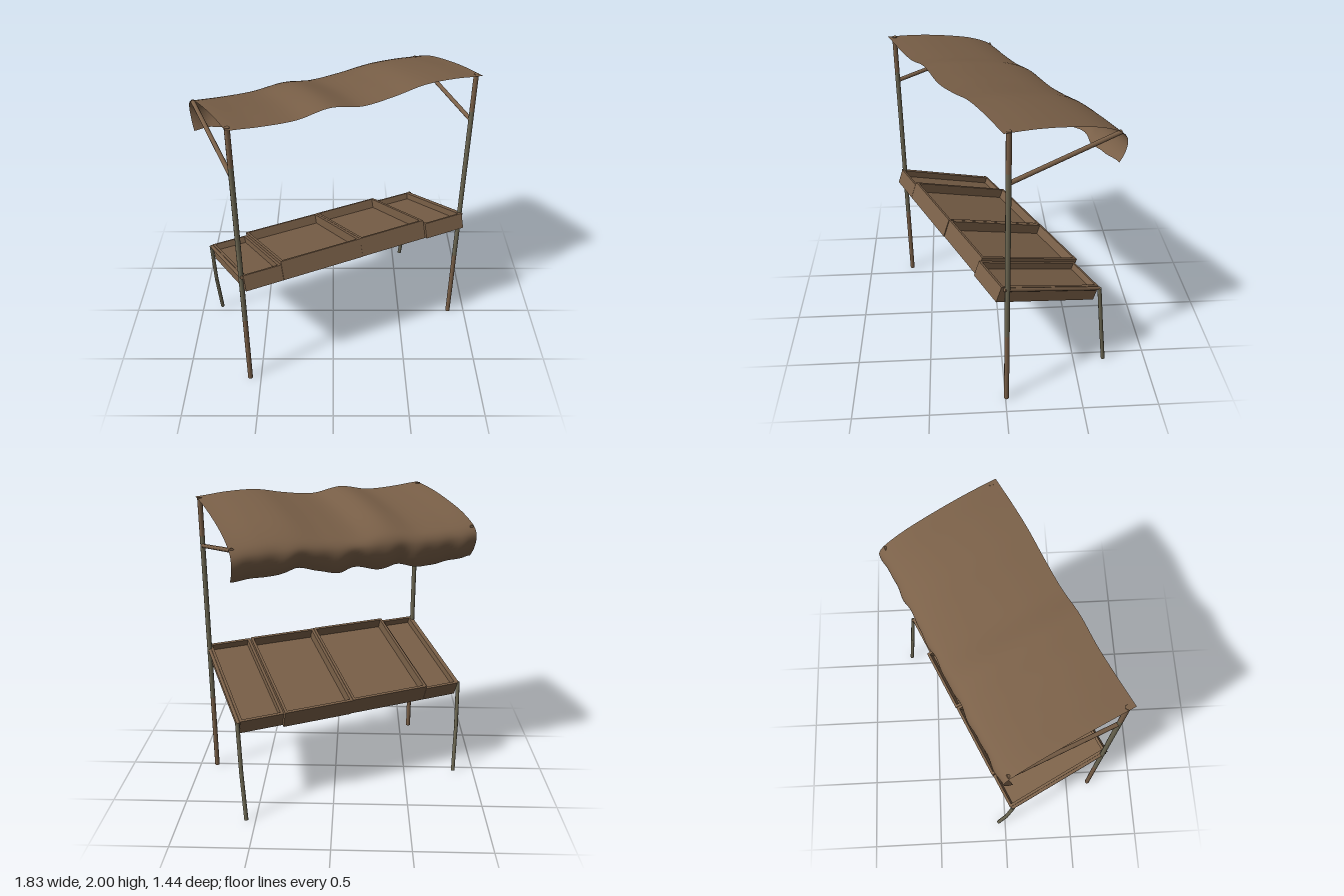
import * as THREE from 'three';

const mat = (name, color, side = THREE.FrontSide) => {
  const m = new THREE.MeshStandardMaterial({ color, side });
  m.name = name;
  return m;
};

export function createModel() {
  const wood = mat('brown wood', 0x7a6048);
  const grey = mat('weathered wood', 0x6d6853);
  const cloth = mat('canopy cloth', 0x7a6048, THREE.DoubleSide);

  const model = new THREE.Group();
  model.name = 'marketStall';
  const stall = new THREE.Group();
  stall.name = 'stall';
  stall.rotation.y = 0.434; // the stall stands turned on its base
  model.add(stall);

  const V = (x, y, z) => new THREE.Vector3(x, y, z);
  const up = V(0, 1, 0);

  // Round pole between two points
  function pole(name, a, b, r, material) {
    const dir = b.clone().sub(a);
    const mesh = new THREE.Mesh(new THREE.CylinderGeometry(r, r, dir.length(), 10), material);
    mesh.position.copy(a).add(b).multiplyScalar(0.5);
    mesh.quaternion.setFromUnitVectors(up, dir.normalize());
    mesh.name = name;
    stall.add(mesh);
  }

  for (const s of [-1, 1]) {
    const side = s > 0 ? 'left' : 'right';
    const x = 0.802 * s;
    // Tall front post, weathered along the middle
    const cuts = [0, 0.55, 1.72, 1.975];
    for (let i = 0; i < 3; i++) {
      pole(side + 'Post' + i, V(x, cuts[i], 0.364), V(x, cuts[i + 1], 0.364), 0.0165, i === 1 ? grey : wood);
    }
    // Strut carrying the back of the canopy
    pole(side + 'CanopyStrut', V(x, 1.655, 0.364), V(x, 1.79, -0.375), 0.014, wood);
    // Rail along the end of the trays
    pole(side + 'Rail', V(x, 0.925, 0.385), V(x, 0.66, -0.325), 0.012, wood);
  }
  // Splayed back legs, slightly crooked
  const legs = {
    leftLeg: [V(0.81, 0.668, -0.318), V(0.812, 0.33, -0.36), V(0.807, 0.005, -0.408)],
    rightLeg: [V(-0.808, 0.668, -0.318), V(-0.79, 0.33, -0.358), V(-0.757, 0.005, -0.404)],
  };
  for (const [name, pts] of Object.entries(legs)) {
    pole(name + 'Upper', pts[0], pts[1], 0.0135, grey);
    pole(name + 'Lower', pts[1], pts[2], 0.0135, grey);
  }

  // Sloping display trays
  const trays = new THREE.Group();
  trays.name = 'displayTrays';
  trays.position.set(0, 0.705, 0.0625);
  trays.rotation.x = -0.356;
  stall.add(trays);

  function tray(name, x0, x1, height, shift, under) {
    const g = new THREE.Group();
    g.name = name;
    g.position.set((x0 + x1) / 2, 0, shift);
    const w = x1 - x0, len = 0.772, t = 0.018, floor = 0.06;
    const box = (part, sx, sy, sz, px, py, pz, material) => {
      const m = new THREE.Mesh(new THREE.BoxGeometry(sx, sy, sz), material);
      m.position.set(px, py, pz);
      m.name = part;
      g.add(m);
    };
    const sided = [wood, wood, wood, under, wood, wood];
    box('floor', w, floor, len, 0, floor / 2, 0, sided);
    const wall = height - floor, wy = floor + wall / 2;
    for (const s of [-1, 1]) {
      box('sideWall', t, wall, len, s * (w - t) / 2, wy, 0, wood);
      box('endWall', w - 2 * t, wall, t, 0, wy, s * (len - t) / 2, wood);
    }
    trays.add(g);
  }
  tray('rightTray', -0.794, -0.542, 0.105, 0, grey);
  tray('innerRightTray', -0.54, 0.019, 0.127, 0, wood);
  tray('innerLeftTray', 0.021, 0.499, 0.127, -0.004, wood);
  tray('leftTray', 0.501, 0.794, 0.105, 0.014, wood);

  // Cloth canopy: a profile from the front edge over the back and down the valance
  const profile = new THREE.SplineCurve([
    [0.405, 1.975], [0.2, 1.953], [0, 1.917], [-0.2, 1.868], [-0.34, 1.812],
    [-0.398, 1.765], [-0.41, 1.71], [-0.39, 1.645], [-0.355, 1.595],
  ].map(p => new THREE.Vector2(...p)));
  const wave = list => {
    const c = new THREE.SplineCurve(list.map((v, i) => new THREE.Vector2(i, v)));
    return t => c.getPoint(t).y;
  };
  const frontWave = wave([0, -0.02, -0.027, 0.004, -0.03, -0.012, 0.022, 0.02, 0]);
  const hemWave = wave([0, -0.01, -0.03, -0.03, -0.002, -0.02, 0.01, -0.012, 0.015, 0.045, 0.012, 0.012, 0.005]);

  const geo = new THREE.PlaneGeometry(1, 1, 72, 32);
  const pos = geo.attributes.position, uv = geo.attributes.uv;
  for (let i = 0; i < pos.count; i++) {
    const u = uv.getX(i), v = uv.getY(i);
    const p = profile.getPoint(v);
    const front = 1 - THREE.MathUtils.smoothstep(v, 0.25, 0.9);
    const hem = THREE.MathUtils.smoothstep(v, 0.5, 1);
    const x = (u - 0.5) * 1.642;
    const ripple = 0.009 * Math.sin(21 * x + 1) + 0.006 * Math.sin(37 * x);
    pos.setXYZ(i, x, p.y + front * frontWave(u) + hem * hemWave(u), p.x + hem * ripple);
  }
  geo.computeVertexNormals();
  const canopy = new THREE.Mesh(geo, cloth);
  canopy.name = 'canopy';
  stall.add(canopy);

  return model;
}
